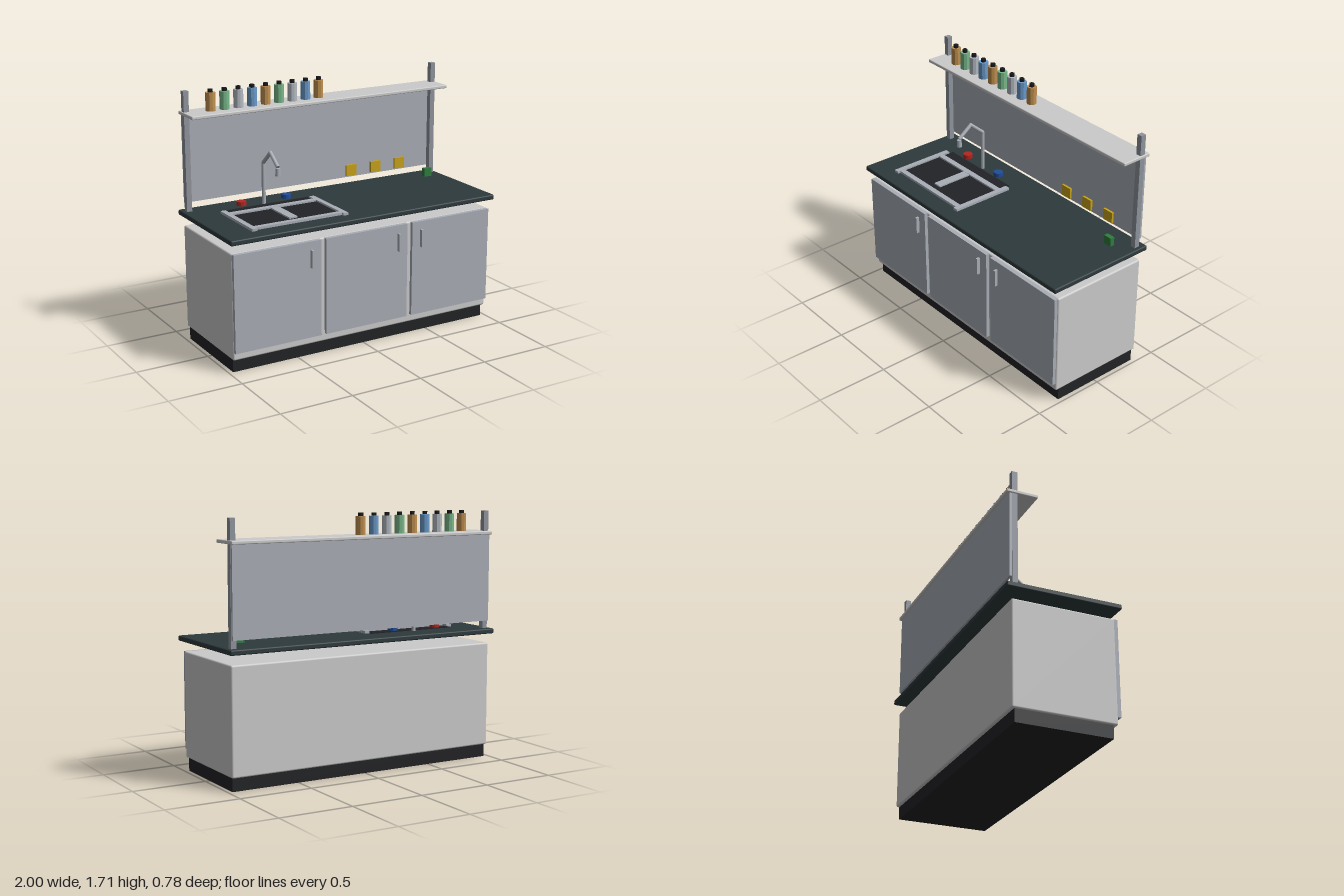
import * as THREE from 'three';
import { RoundedBoxGeometry } from 'three/addons/geometries/RoundedBoxGeometry.js';

const material = (color, flatShading = false) => new THREE.MeshStandardMaterial({ color, flatShading });
const grey = material(0xcccccc);
const steel = material(0xa9aeb6);
const postGrey = material(0x90959d);
const dark = material(0x222326);
const slate = material(0x2e3a3c);
const yellow = material(0xc9a21a);
const red = material(0xb3261e, true);
const blue = material(0x1f4e9c, true);
const green = material(0x2f7d3f);
const cap = material(0x18181a, true);
const bottleMaterials = [0xbf8f4f, 0x78b88a, 0xb4bbc3, 0x6a9bcb].map((c) => material(c, true));

export function createModel() {
  const model = new THREE.Group();

  const add = (name, geometry, mat, x = 0, y = 0, z = 0, parent = model) => {
    const mesh = new THREE.Mesh(geometry, mat);
    mesh.name = name;
    mesh.position.set(x, y, z);
    parent.add(mesh);
    return mesh;
  };
  // Box given by its extents; a bevel radius rounds the edges
  const box = (name, mat, [x0, x1], [y0, y1], [z0, z1], bevel = 0) => {
    const size = [x1 - x0, y1 - y0, z1 - z0];
    const geometry = bevel
      ? new RoundedBoxGeometry(...size, 2, bevel)
      : new THREE.BoxGeometry(...size);
    return add(name, geometry, mat, (x0 + x1) / 2, (y0 + y1) / 2, (z0 + z1) / 2);
  };

  // Cabinet
  box('plinth', dark, [-0.97, 0.97], [0, 0.09], [-0.335, 0.315]);
  box('cabinetBody', grey, [-0.98, 0.98], [0.088, 0.8], [-0.355, 0.345], 0.012);
  [[-0.663, -0.423], [-0.003, 0.237], [0.66, 0.417]].forEach(([x, handleX]) => {
    box('door', steel, [x - 0.312, x + 0.312], [0.143, 0.798], [0.34, 0.368]);
    box('handle', steel, [handleX - 0.008, handleX + 0.008], [0.622, 0.742], [0.365, 0.392]);
  });

  // Worktop
  box('worktop', slate, [-1, 1], [0.866, 0.901], [-0.392, 0.392], 0.009);

  // Sink: dark basins framed by steel bars
  box('sinkBasin', dark, [-0.765, -0.135], [0.875, 0.906], [-0.2, 0.23]);
  for (const x of [-0.782, -0.118]) {
    box('sinkSideRim', steel, [x - 0.018, x + 0.018], [0.895, 0.918], [-0.167, 0.285]);
  }
  box('sinkFrontRim', steel, [-0.78, -0.12], [0.895, 0.917], [0.227, 0.265]);
  box('sinkBackRim', steel, [-0.78, -0.12], [0.895, 0.917], [-0.115, -0.075]);
  box('sinkDivider', steel, [-0.48, -0.42], [0.895, 0.916], [-0.115, 0.182]);

  // Faucet: an angular bent pipe
  const faucet = new THREE.Group();
  faucet.name = 'faucet';
  faucet.position.x = -0.452;
  model.add(faucet);
  const bends = [[0.895, -0.222], [1.185, -0.222], [1.275, -0.118], [1.2, -0.018]]
    .map(([y, z]) => new THREE.Vector3(0, y, z));
  bends.slice(1).forEach((end, i) => {
    const start = bends[i];
    const direction = end.clone().sub(start);
    const middle = start.clone().add(end).multiplyScalar(0.5);
    const pipe = add('faucetPipe', new THREE.CylinderGeometry(0.013, 0.013, direction.length(), 12),
      steel, middle.x, middle.y, middle.z, faucet);
    pipe.quaternion.setFromUnitVectors(new THREE.Vector3(0, 1, 0), direction.normalize());
  });
  for (const bend of bends.slice(1, 3)) {
    add('faucetElbow', new THREE.SphereGeometry(0.013, 12, 8), steel, bend.x, bend.y, bend.z, faucet);
  }
  add('faucetNozzle', new THREE.CylinderGeometry(0.016, 0.018, 0.05, 12), steel, 0, 1.167, -0.018, faucet);

  // Hot and cold knobs
  const knob = new THREE.CylinderGeometry(0.033, 0.033, 0.028, 12);
  add('hotKnob', knob, red, -0.62, 0.931, -0.223);
  add('coldKnob', knob, blue, -0.283, 0.931, -0.223);

  // Back panel, posts and shelf
  box('backPanel', steel, [-0.97, 0.97], [0.954, 1.548], [-0.362, -0.344]);
  for (const x of [-0.955, 0.955]) {
    box('post', postGrey, [x - 0.018, x + 0.018], [0.9, 1.703], [-0.345, -0.307]);
  }
  box('shelf', grey, [-0.98, 0.98], [1.543, 1.566], [-0.382, -0.167], 0.006);

  // Sockets and a small box on the worktop
  for (const x of [0.295, 0.495, 0.695]) {
    box('socket', yellow, [x - 0.04, x + 0.04], [0.965, 1.042], [-0.346, -0.328]);
  }
  box('greenBox', green, [0.816, 0.876], [0.915, 0.974], [-0.217, -0.185]);

  // Row of bottles on the shelf
  const bottleBody = new THREE.CylinderGeometry(0.033, 0.033, 0.122, 10);
  const bottleCap = new THREE.CylinderGeometry(0.017, 0.017, 0.022, 10);
  for (let i = 0; i < 9; i++) {
    const bottle = new THREE.Group();
    bottle.name = 'bottle';
    bottle.position.set(-0.8 + i * 0.1, 1.565, -0.273);
    model.add(bottle);
    add('bottleBody', bottleBody, bottleMaterials[i % 4], 0, 0.061, 0, bottle);
    add('bottleCap', bottleCap, cap, 0, 0.132, 0, bottle);
  }

  return model;
}
